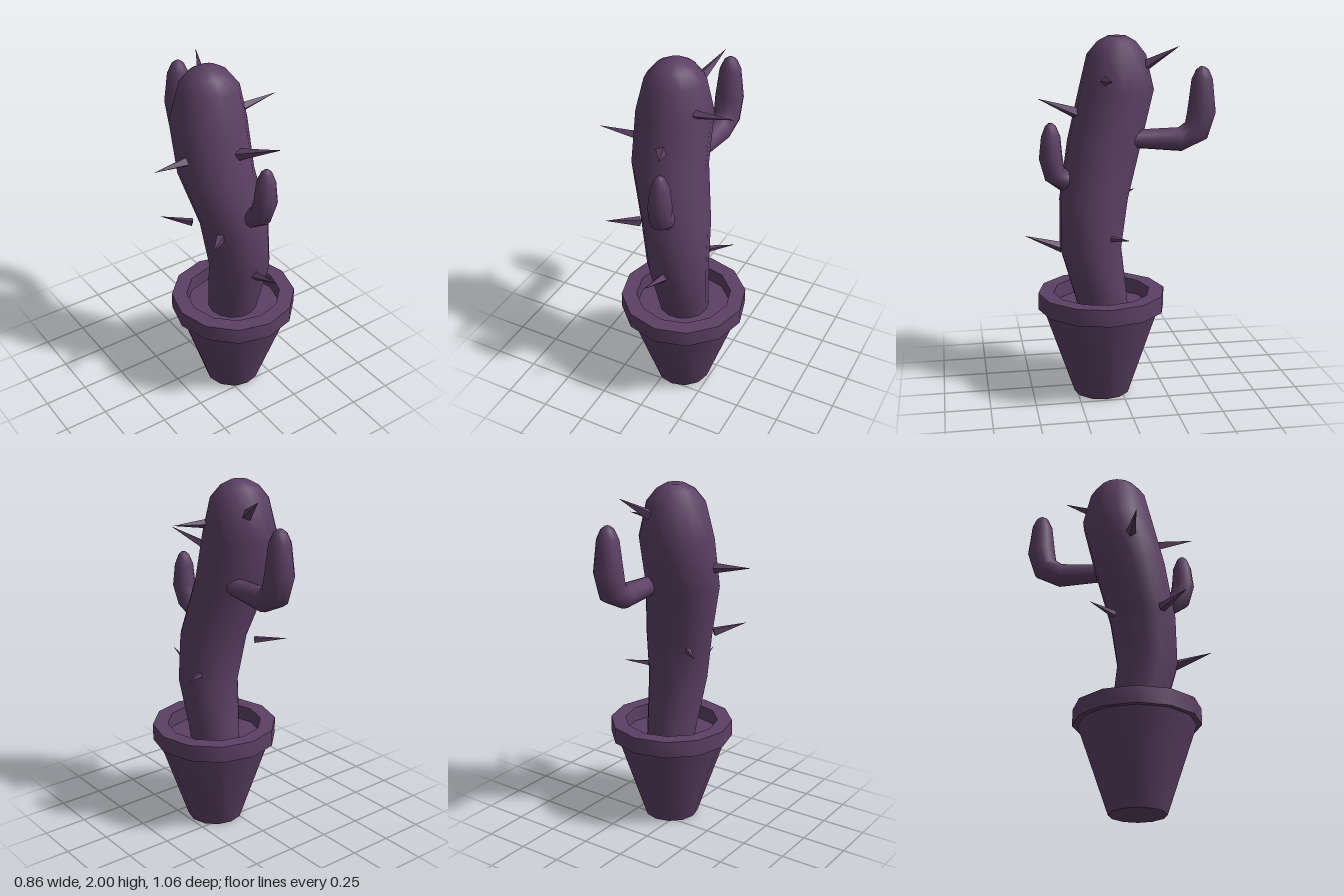
import * as THREE from 'three';
import { toCreasedNormals } from 'three/addons/utils/BufferGeometryUtils.js';

// Smooth tapering limb through sections [x, y, z, radius]; rings follow the path unless `axis` is given.
function limb(sections, sides, axis) {
  const pos = [], index = [];
  const pts = sections.map(s => new THREE.Vector3(s[0], s[1], s[2]));
  const n = pts.length;
  pts.forEach((p, i) => {
    const t = axis ? axis.clone()
      : pts[Math.min(i + 1, n - 1)].clone().sub(pts[Math.max(i - 1, 0)]).normalize();
    const u = new THREE.Vector3(1, 0, 0).addScaledVector(t, -t.x).normalize();
    const v = t.clone().cross(u);
    for (let j = 0; j < sides; j++) {
      const a = j / sides * Math.PI * 2;
      const q = p.clone().addScaledVector(u, Math.cos(a) * sections[i][3])
        .addScaledVector(v, Math.sin(a) * sections[i][3]);
      pos.push(q.x, q.y, q.z);
    }
  });
  for (let i = 0; i < n - 1; i++) {
    for (let j = 0; j < sides; j++) {
      const k = (j + 1) % sides;
      const a = i * sides + j, b = i * sides + k, c = b + sides, d = a + sides;
      index.push(a, b, d, b, c, d);
    }
  }
  // closed tip
  pos.push(pts[n - 1].x, pts[n - 1].y, pts[n - 1].z);
  for (let j = 0; j < sides; j++) {
    index.push((n - 1) * sides + j, (n - 1) * sides + (j + 1) % sides, n * sides);
  }
  const g = new THREE.BufferGeometry();
  g.setAttribute('position', new THREE.Float32BufferAttribute(pos, 3));
  g.setIndex(index);
  g.computeVertexNormals();
  return g;
}

// Four-sided thorn from base to tip
function thorn(base, tip, radius) {
  const b = new THREE.Vector3(...base), dir = new THREE.Vector3(...tip).sub(b);
  const len = dir.length();
  const g = new THREE.ConeGeometry(radius, len, 4).translate(0, len / 2, 0);
  g.applyQuaternion(new THREE.Quaternion().setFromUnitVectors(
    new THREE.Vector3(0, 1, 0), dir.normalize()));
  g.translate(b.x, b.y, b.z);
  return toCreasedNormals(g, 0.5);
}

export function createModel() {
  const group = new THREE.Group();
  const purple = new THREE.MeshStandardMaterial({ color: 0x5c4064 });
  purple.name = 'dusky purple';

  const add = (name, geometry) => {
    const mesh = new THREE.Mesh(geometry, purple);
    mesh.name = name;
    group.add(mesh);
  };

  // Pot with rim and sunken soil
  const profile = [[0, 0], [0.158, 0], [0.327, 0.5], [0.356, 0.5], [0.356, 0.595],
    [0.27, 0.595], [0.27, 0.51], [0, 0.51]].map(p => new THREE.Vector2(...p));
  const pot = new THREE.LatheGeometry(profile, 12).translate(0.078, 0, 0.105);
  add('pot', toCreasedNormals(pot, 0.7));

  // Curving trunk with a rounded top
  add('trunk', limb([
    [0.078, 0.49, 0.095, 0.14],
    [0.075, 0.6, 0.116, 0.15],
    [0.073, 0.85, 0.166, 0.172],
    [0.05, 1.12, 0.143, 0.19],
    [-0.022, 1.43, 0.07, 0.207],
    [-0.027, 1.71, 0.003, 0.207],
    [-0.024, 1.9, 0.003, 0.162],
    [-0.024, 1.97, 0.001, 0.105],
    [-0.022, 2.0, 0, 0.05],
  ], 14, new THREE.Vector3(0, 1, 0)));

  // Large arm behind
  add('backArm', limb([
    [0.075, 1.45, -0.06, 0.05],
    [0.075, 1.447, -0.14, 0.054],
    [0.078, 1.44, -0.336, 0.067],
    [0.079, 1.487, -0.425, 0.077],
    [0.079, 1.595, -0.454, 0.08],
    [0.079, 1.765, -0.454, 0.06],
    [0.079, 1.818, -0.455, 0.036],
    [0.079, 1.835, -0.456, 0.014],
  ], 12));

  // Small arm in front
  add('frontArm', limb([
    [0.055, 1.225, 0.24, 0.055],
    [0.06, 1.228, 0.3, 0.06],
    [0.068, 1.265, 0.357, 0.062],
    [0.08, 1.36, 0.38, 0.064],
    [0.08, 1.475, 0.378, 0.052],
    [0.08, 1.53, 0.379, 0.03],
    [0.08, 1.547, 0.38, 0.012],
  ], 12));

  // Thorns: base, tip, base radius
  [
    [[-0.21, 1.548, 0.08], [-0.43, 1.57, 0.115], 0.03],
    [[0.13, 1.77, 0.09], [0.35, 1.79, 0.085], 0.026],
    [[0.01, 1.59, 0.23], [0.115, 1.685, 0.45], 0.032],
    [[0.04, 1.84, -0.14], [0.11, 1.95, -0.32], 0.032],
    [[-0.115, 1.125, 0.25], [-0.25, 1.17, 0.385], 0.028],
    [[-0.12, 1.085, -0.015], [-0.25, 1.1, -0.145], 0.022],
    [[0.065, 0.85, 0.32], [0.062, 0.925, 0.53], 0.03],
    [[0.21, 0.925, 0.065], [0.33, 0.942, -0.012], 0.018],
  ].forEach(([base, tip, r], i) => add('thorn' + (i + 1), thorn(base, tip, r)));

  return group;
}
